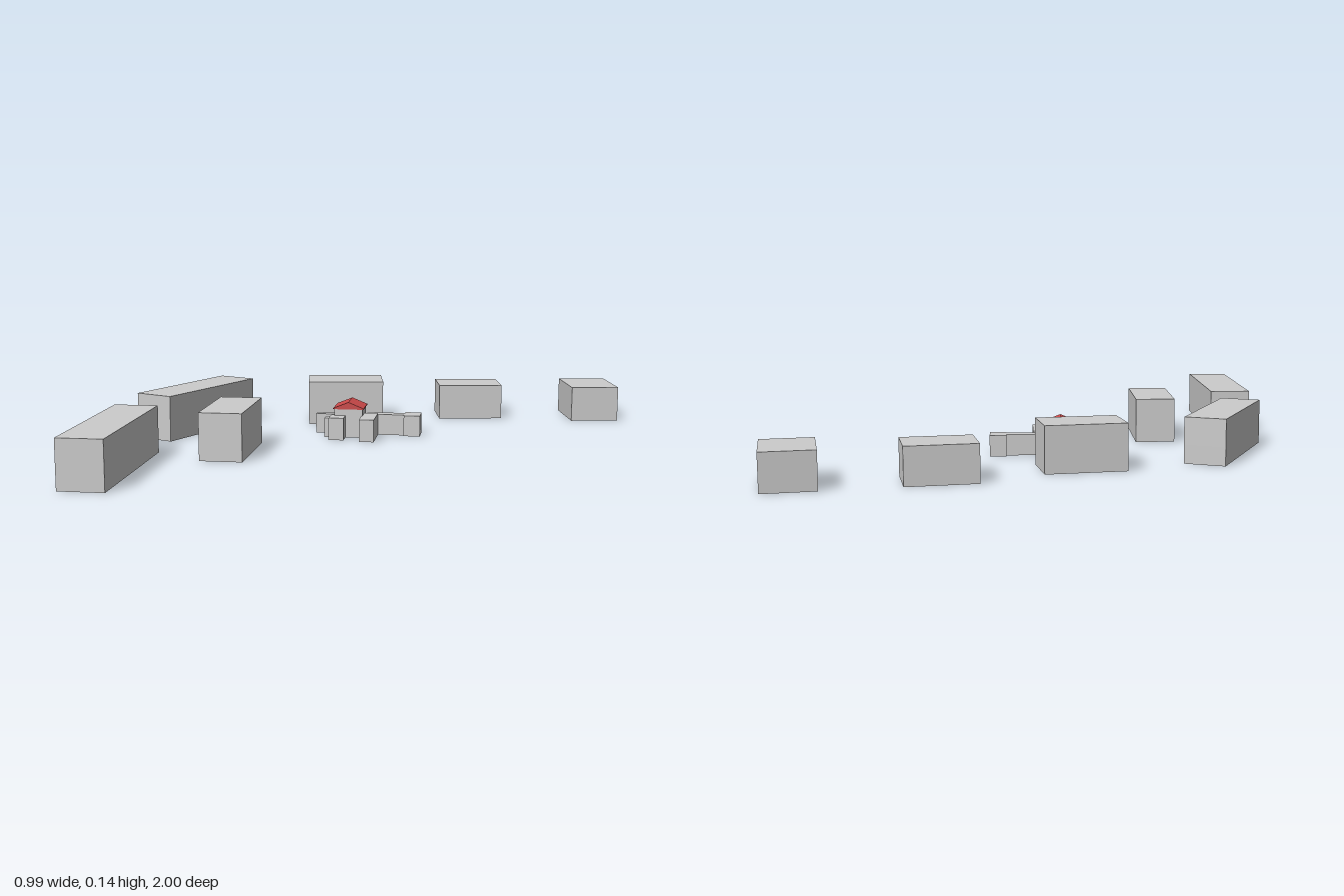
import * as THREE from 'three';

const grey = new THREE.MeshStandardMaterial({ color: 0xcccccc, flatShading: true });
const red = new THREE.MeshStandardMaterial({ color: 0xcc4a4a, flatShading: true });
const STOREY = 0.0276;

// Box standing at height y, its long side turned by angle about the vertical
function block(name, x, z, length, width, height, angle, y = 0) {
  const mesh = new THREE.Mesh(new THREE.BoxGeometry(length, height, width), grey);
  mesh.name = name;
  mesh.position.set(x, y + height / 2, z);
  mesh.rotation.y = angle;
  return mesh;
}

// Apartment block made of stacked storeys
function apartmentBlock(name, x, z, length, width, storeys, angle) {
  const group = new THREE.Group();
  group.name = name;
  for (let i = 0; i < storeys; i++) {
    group.add(block('storey', x, z, length, width, STOREY, angle, i * STOREY));
  }
  return group;
}

export function createModel() {
  const model = new THREE.Group();
  model.name = 'housingEstate';

  // Six slabs around the courtyard: x, z, length, width, storeys, angle
  const slabs = [
    [0.367, -0.877, 0.204, 0.152, 4, -0.757],
    [0.071, -0.604, 0.206, 0.148, 4, 0.8],
    [-0.156, -0.245, 0.24, 0.153, 5, 0.79],
    [-0.384, 0.197, 0.431, 0.125, 5, -1.348],
    [-0.032, 0.362, 0.276, 0.124, 5, -0.94],
    [-0.0765, 0.755, 0.5, 0.128, 5, -0.93],
  ];
  slabs.forEach((s, i) => model.add(apartmentBlock('apartmentBlock' + (i + 1), ...s)));

  // Low central building with wings
  const turn = -0.94;
  const centre = new THREE.Group();
  centre.name = 'centralBuilding';
  centre.add(
    block('mainHall', 0.037, -0.066, 0.088, 0.086, 0.09, turn),
    block('frontRightWing', 0.115, -0.065, 0.12, 0.045, 0.068, turn),
    block('connectingWing', 0.11, -0.16, 0.036, 0.13, 0.064, turn),
    block('endPavilion', 0.17, -0.207, 0.065, 0.05, 0.064, turn),
    block('leftWing', -0.04, -0.055, 0.025, 0.085, 0.06, turn),
    block('frontWing', 0.047, 0.002, 0.06, 0.045, 0.068, turn),
    block('sidePorch', 0.008, -0.006, 0.03, 0.03, 0.06, turn)
  );

  // Gabled red roof with its ridge along the hall
  const gable = new THREE.Shape([
    new THREE.Vector2(-0.047, 0),
    new THREE.Vector2(0.047, 0),
    new THREE.Vector2(0.047, 0.003),
    new THREE.Vector2(0, 0.022),
    new THREE.Vector2(-0.047, 0.003),
  ]);
  const roofGeometry = new THREE.ExtrudeGeometry(gable, { depth: 0.096, bevelEnabled: false });
  roofGeometry.translate(0, 0, -0.048).rotateY(Math.PI / 2);
  const roof = new THREE.Mesh(roofGeometry, red);
  roof.name = 'gabledRoof';
  roof.position.set(0.037, 0.088, -0.066);
  roof.rotation.y = turn;
  centre.add(roof);

  model.add(centre);
  return model;
}
